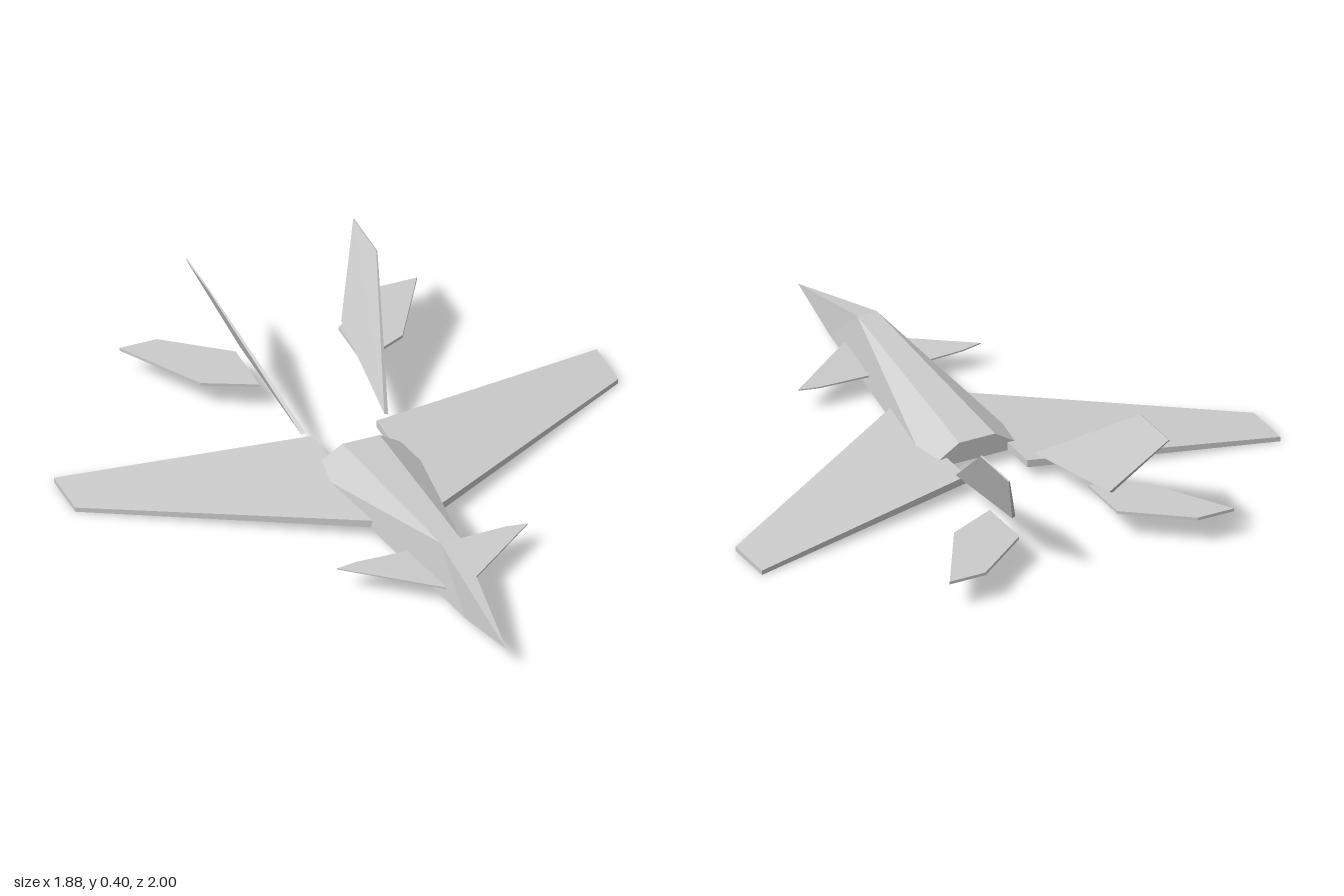
import * as THREE from 'three';
import { ConvexGeometry } from 'three/addons/geometries/ConvexGeometry.js';

const material = new THREE.MeshStandardMaterial({ color: 0xcccccc, flatShading: true });

// Thin tapered plate: corners are [x, y, z, thickness], thickened along an axis.
function plate(name, corners, axis, side) {
  const points = [];
  for (const [x, y, z, t] of corners) {
    for (const s of [-0.5, 0.5]) {
      points.push(new THREE.Vector3(
        side * (x + axis[0] * t * s), y + axis[1] * t * s, z + axis[2] * t * s));
    }
  }
  const mesh = new THREE.Mesh(new ConvexGeometry(points), material);
  mesh.name = name;
  return mesh;
}

// Faceted body: pointed nose, raised canopy peak and a wide flat belly.
function fuselage() {
  const left = {
    nose: [0, 0.08, 1], peak: [0.035, 0.2, 0.53], chin: [0.028, 0.03, 0.73],
    tailTop: [0.065, 0.11, -0.22], tailLow: [0.18, 0.038, -0.22],
  };
  const L = (key) => left[key];
  const R = (key) => [-left[key][0], left[key][1], left[key][2]];
  const positions = [];
  const tri = (a, b, c) => positions.push(...a, ...b, ...c);

  // Flanks, mirrored with reversed corner order
  for (const [a, b, c] of [
    ['chin', 'peak', 'nose'], ['peak', 'chin', 'tailLow'], ['peak', 'tailLow', 'tailTop'],
  ]) {
    tri(L(a), L(b), L(c));
    tri(R(a), R(c), R(b));
  }
  // Nose top and underside
  tri(L('nose'), L('peak'), R('peak'));
  tri(L('chin'), L('nose'), R('chin'));
  // Spine, belly and rear bulkhead
  for (const [a, b] of [['peak', 'tailTop'], ['tailLow', 'chin'], ['tailTop', 'tailLow']]) {
    tri(L(a), L(b), R(b));
    tri(L(a), R(b), R(a));
  }

  const geometry = new THREE.BufferGeometry();
  geometry.setAttribute('position', new THREE.Float32BufferAttribute(positions, 3));
  geometry.computeVertexNormals();
  const mesh = new THREE.Mesh(geometry, material);
  mesh.name = 'fuselage';
  return mesh;
}

export function createModel() {
  const group = new THREE.Group();
  group.name = 'jet';
  group.add(fuselage());

  const up = [0, 1, 0];
  const finNormal = [0.91, -0.42, 0];

  for (const [label, side] of [['left', 1], ['right', -1]]) {
    // Swept main wing, drooping to the tip
    group.add(plate(label + 'Wing', [
      [0.11, 0.054, 0.16, 0.026], [0.94, 0.009, -0.34, 0.016],
      [0.94, 0.009, -0.52, 0.016], [0.11, 0.054, -0.355, 0.026],
    ], up, side));

    // Small foreplane beside the cockpit
    group.add(plate(label + 'Canard', [
      [0.035, 0.07, 0.607, 0.007], [0.33, 0.079, 0.378, 0.004],
      [0.26, 0.077, 0.365, 0.005], [0.035, 0.07, 0.365, 0.007],
    ], up, side));

    // Canted tail fin
    group.add(plate(label + 'Fin', [
      [0.143, 0.083, -0.355, 0.015], [0.29, 0.4, -0.79, 0.005],
      [0.29, 0.4, -0.983, 0.005], [0.176, 0.15, -0.8, 0.012],
    ], finNormal, side));

    // Flat horizontal stabilizer
    group.add(plate(label + 'Stabilizer', [
      [0.178, 0.095, -0.64, 0.01], [0.35, 0.095, -0.72, 0.01],
      [0.515, 0.095, -1, 0.01], [0.385, 0.095, -1, 0.01], [0.178, 0.095, -0.84, 0.01],
    ], up, side));
  }
  return group;
}
